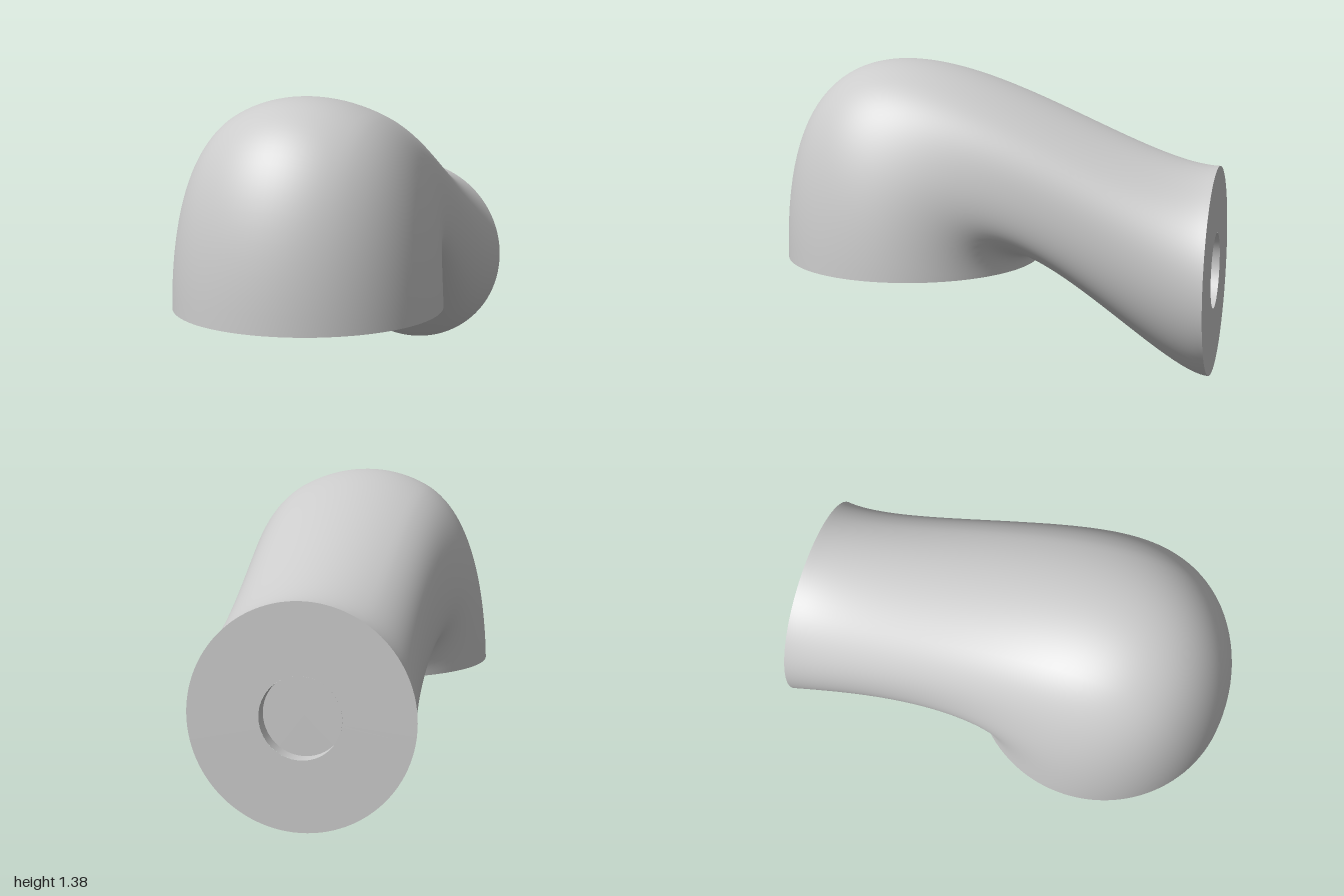
import * as THREE from 'three';

const BASE = { y: 0.47, z: 0.41, r: 0.59 };   // downward facing round opening
const END = { y: 0.47, z: -1, r: 0.468 };     // backward facing round end
const PIN_R = 0.17, PIN_H = 0.07;

// Point on the bent body: a cubic curve runs from each base rim point up and back to the end rim.
function bodyPoint(angle, t) {
  const s = Math.sin(angle), c = Math.cos(angle);
  const ease = t * t * (3 - 2 * t);
  const rise = 0.98 + 0.74 * c, reach = 0.375 + 0.175 * c;
  const mix = (a, b) => a + (b - a) * ease;
  // the sides narrow to a waist, leaving a soft crease beside the crown
  const side = c > 0 ? Math.max(0, (s * s - 0.3) / 0.7) : s * s;
  const waist = 1 - 0.14 * side * Math.sin(Math.PI * Math.pow(t, 1.2));
  return [
    s * mix(BASE.r, END.r) * waist,
    mix(BASE.y, END.y + END.r * c) + 3 * rise * t * (1 - t) ** 2,
    mix(BASE.z + BASE.r * c, END.z) + 3 * reach * t * t * (1 - t),
  ];
}

function bodyGeometry(around = 108, along = 60) {
  const positions = [], index = [];
  for (let j = 0; j <= along; j++) {
    for (let i = 0; i < around; i++) {
      positions.push(...bodyPoint((i / around) * Math.PI * 2, j / along));
      if (j === along) continue;
      const n = (i + 1) % around;
      const a = j * around + i, b = j * around + n;
      index.push(a, b, b + around, a, b + around, a + around);
    }
  }
  const geometry = new THREE.BufferGeometry();
  geometry.setAttribute('position', new THREE.Float32BufferAttribute(positions, 3));
  geometry.setIndex(index);
  geometry.computeVertexNormals();
  return geometry;
}

export function createModel() {
  const group = new THREE.Group();
  const grey = new THREE.MeshStandardMaterial({ color: 0xcccccc });
  const greyInside = new THREE.MeshStandardMaterial({ color: 0xcccccc, side: THREE.DoubleSide });
  const add = (name, geometry, material = grey) => {
    const mesh = new THREE.Mesh(geometry, material);
    mesh.name = name;
    group.add(mesh);
  };

  add('bentBody', bodyGeometry());

  // flat base with a short round pin
  add('baseFace', new THREE.CircleGeometry(BASE.r, 108).rotateX(Math.PI / 2).translate(0, BASE.y, BASE.z));
  add('basePin', new THREE.CylinderGeometry(PIN_R, PIN_R, PIN_H, 48).translate(0, BASE.y - PIN_H / 2, BASE.z));

  // flat end with a matching round socket
  add('endFace', new THREE.RingGeometry(PIN_R, END.r, 108).rotateY(Math.PI).translate(0, END.y, END.z));
  add('socketWall', new THREE.CylinderGeometry(PIN_R, PIN_R, PIN_H, 48, 1, true)
    .rotateX(Math.PI / 2).translate(0, END.y, END.z + PIN_H / 2), greyInside);
  add('socketFloor', new THREE.CircleGeometry(PIN_R, 48).rotateY(Math.PI).translate(0, END.y, END.z + PIN_H));

  return group;
}
